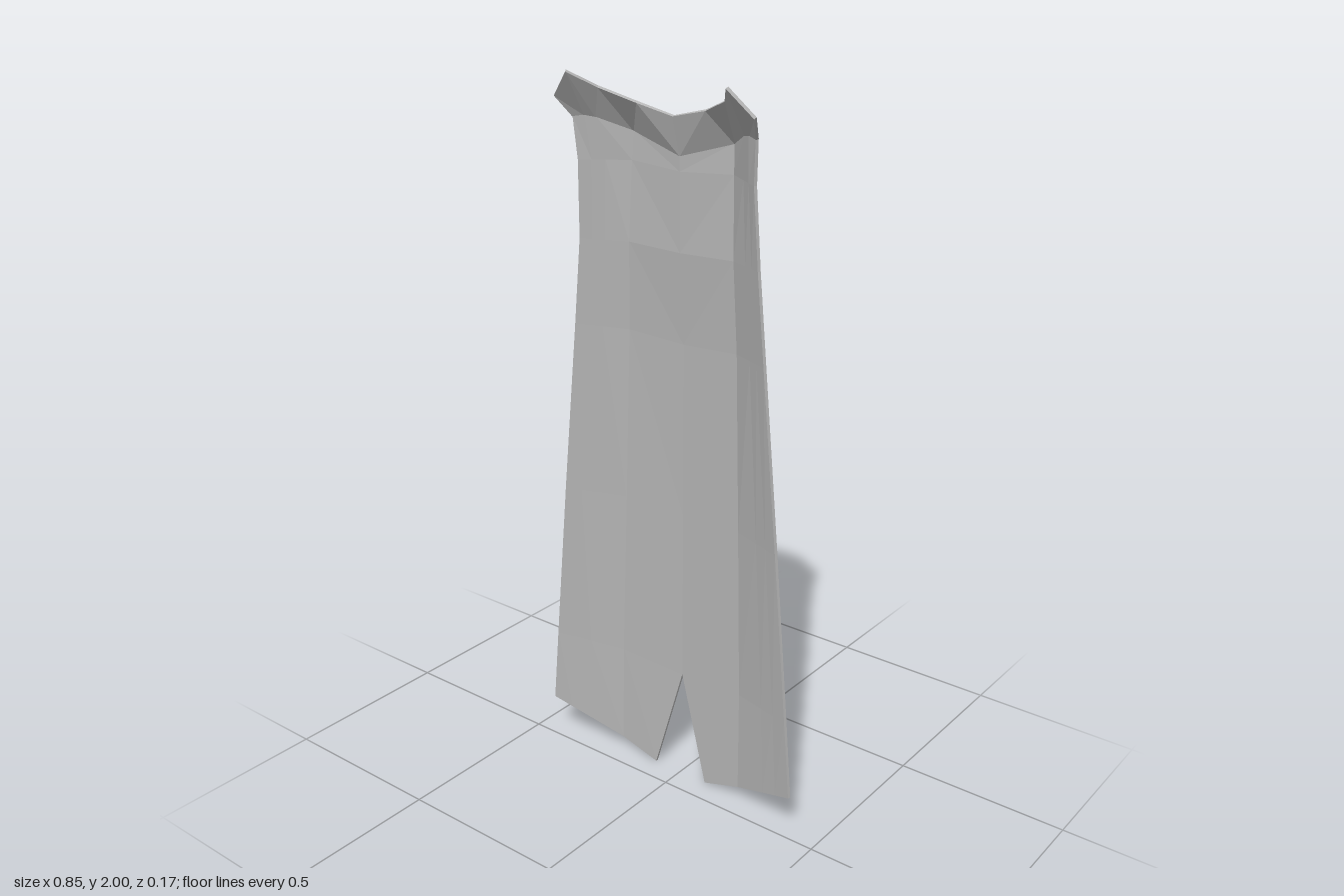
import * as THREE from 'three';

const THICKNESS = 0.008;
const V = (p) => new THREE.Vector3(...p);

// Collar rim and neckline, from the centre out to the shoulder tip
const rim = [[0, 1.9, -0.034], [0.105, 1.925, -0.024], [0.195, 1.96, 0.02], [0.243, 2, 0.083], [0.305, 1.935, 0.058]];
const neck = [[0, 1.8, -0.063], [0.157, 1.845, -0.076], [0.232, 1.88, -0.012], [0.255, 1.885, 0.004], [0.283, 1.88, 0.016]];

// Cloth rows, each: centre, fold, outer edge
const clothRows = [
  [[0, 1.76, -0.064], [0.16, 1.77, -0.072], [0.276, 1.77, 0.008]],
  [[0, 1.555, -0.066], [0.167, 1.56, -0.066], [0.285, 1.565, -0.003]],
  [[0, 1.31, -0.082], [0.176, 1.32, -0.075], [0.308, 1.33, -0.004]],
  [[0, 0.82, -0.085], [0.192, 0.83, -0.075], [0.358, 0.84, -0.004]],
  [[0, 0.325, -0.085], [0.208, 0.34, -0.073], [0.404, 0.36, -0.004]],
  [[0.09, 0, -0.077], [0.212, 0.04, -0.071], [0.425, 0.132, -0.004]], // split hem
].map(([c, f, e]) => [c, f, ...[0.5, 0.75].map((t) => V(f).lerp(V(e), t).toArray()), e]);

// A thick faceted sheet through rows of points, mirrored when side is -1
function sheet(name, rows, side, material) {
  const nr = rows.length, nc = rows[0].length, n = nr * nc;
  const outer = rows.flat().map(([x, y, z]) => new THREE.Vector3(x * side, y, z));
  const index = [];
  const tri = (a, b, c) => index.push(...(side > 0 ? [a, b, c] : [a, c, b]));
  const id = (i, j) => i * nc + j;
  for (let i = 0; i < nr - 1; i++) {
    for (let j = 0; j < nc - 1; j++) {
      tri(id(i, j), id(i, j + 1), id(i + 1, j));
      tri(id(i, j + 1), id(i + 1, j + 1), id(i + 1, j));
    }
  }
  // Offset the inner face along the averaged normals
  const skin = new THREE.BufferGeometry().setFromPoints(outer);
  skin.setIndex([...index]);
  skin.computeVertexNormals();
  const inner = outer.map((p, k) => {
    const normal = new THREE.Vector3().fromBufferAttribute(skin.attributes.normal, k);
    if (p.x === 0) normal.setX(0).normalize();
    return p.clone().addScaledVector(normal, -THICKNESS);
  });
  const faces = [...index];
  for (let k = 0; k < faces.length; k += 3) index.push(faces[k] + n, faces[k + 2] + n, faces[k + 1] + n);

  // Close the border, leaving the centre line open
  const loop = [];
  for (let j = 0; j < nc - 1; j++) loop.push(id(0, j));
  for (let i = 0; i < nr - 1; i++) loop.push(id(i, nc - 1));
  for (let j = nc - 1; j > 0; j--) loop.push(id(nr - 1, j));
  for (let i = nr - 1; i > 0; i--) loop.push(id(i, 0));
  loop.forEach((a, k) => {
    const b = loop[(k + 1) % loop.length];
    if (outer[a].x === 0 && outer[b].x === 0) return;
    tri(b, a, a + n);
    tri(b, a + n, b + n);
  });

  const indexed = new THREE.BufferGeometry().setFromPoints([...outer, ...inner]);
  indexed.setIndex(index);
  const geometry = indexed.toNonIndexed();
  geometry.computeVertexNormals();
  const mesh = new THREE.Mesh(geometry, material);
  mesh.name = name;
  return mesh;
}

export function createModel() {
  const group = new THREE.Group();
  group.name = 'cape';
  const cloth = new THREE.MeshStandardMaterial({ color: 0xb4b4b4 });
  cloth.name = 'grey cloth';
  for (const [label, side] of [['left', 1], ['right', -1]]) {
    group.add(sheet(label + 'Collar', [rim, neck], side, cloth));
    group.add(sheet(label + 'Cloth', [neck, ...clothRows], side, cloth));
  }
  return group;
}
